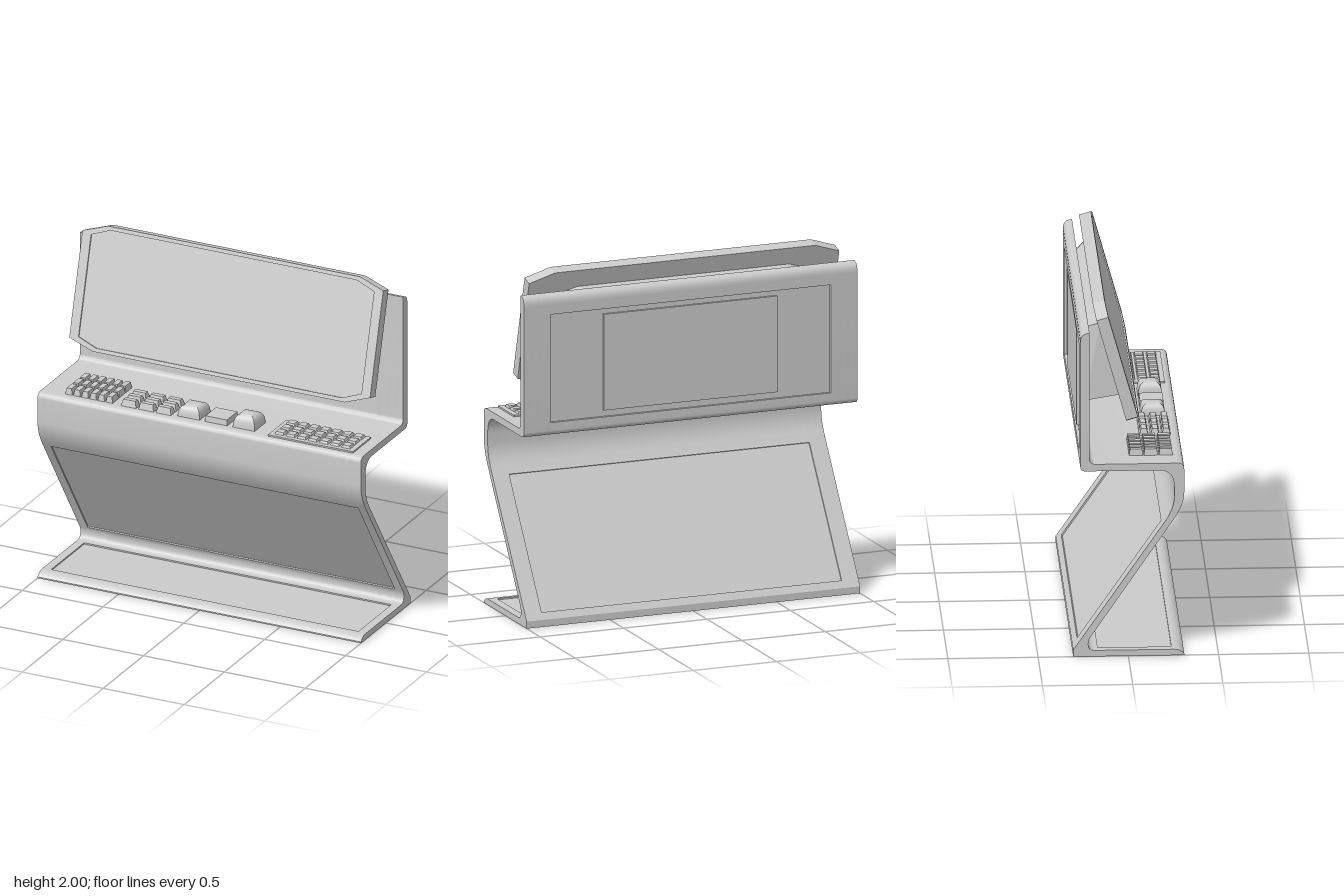
import * as THREE from 'three';
import { toCreasedNormals } from 'three/addons/utils/BufferGeometryUtils.js';

const grey = new THREE.MeshStandardMaterial({ color: 0xcccccc });

function add(parent, name, geometry, x = 0, y = 0, z = 0) {
  const mesh = new THREE.Mesh(geometry, grey);
  mesh.name = name;
  mesh.position.set(x, y, z);
  parent.add(mesh);
  return mesh;
}

// Straight profile edge from a to b with a shallow recess between t0 and t1
function edge(shape, a, b, depth, t0, t1) {
  const dx = b[0] - a[0], dy = b[1] - a[1], len = Math.hypot(dx, dy);
  const at = (t, d) => shape.lineTo(a[0] + dx * t - dy / len * d, a[1] + dy * t + dx / len * d);
  shape.lineTo(...a);
  if (depth > 0) {
    at(t0, 0);
    at(t0, depth);
    at(t1, depth);
    at(t1, 0);
  }
  shape.lineTo(...b);
}

// Side profile of the folded body, drawn as (z, y)
function bodyProfile(half) {
  const s = new THREE.Shape();
  const front = half < 0.95 ? 0.008 : 0;
  const rear = half < 0.9 ? 0.008 : 0;
  const panel = half < 0.84 ? 0.016 : 0;
  s.moveTo(0.31, 0);
  s.lineTo(0.31, 0.008);
  s.quadraticCurveTo(0.29, 0.035, 0.25, 0.035);
  edge(s, [0.249, 0.035], [-0.185, 0.035], front, 0.02, 0.96);
  s.quadraticCurveTo(-0.235, 0.035, -0.218, 0.1);
  edge(s, [-0.217, 0.102], [0.25, 0.79], front, 0.015, 0.985);
  s.quadraticCurveTo(0.31, 0.878, 0.31, 0.95);
  s.lineTo(0.31, 1.085);
  s.quadraticCurveTo(0.31, 1.12, 0.275, 1.12);
  s.lineTo(-0.18, 1.12);
  s.quadraticCurveTo(-0.215, 1.12, -0.215, 1.155);
  s.lineTo(-0.215, 1.885);
  s.quadraticCurveTo(-0.266, 1.885, -0.266, 1.83);
  edge(s, [-0.266, 1.829], [-0.266, 1.11], panel, 0.08, 0.94);
  s.quadraticCurveTo(-0.266, 1.08, -0.236, 1.08);
  s.lineTo(0.17, 1.08);
  s.quadraticCurveTo(0.255, 1.08, 0.255, 0.98);
  s.lineTo(0.255, 0.93);
  s.quadraticCurveTo(0.255, 0.857, 0.207, 0.787);
  edge(s, [0.206, 0.785], [-0.305, 0.04], rear, 0.04, 0.95);
  s.lineTo(-0.305, 0);
  s.closePath();
  return s;
}

// Octagon with corners cut by cx and cy, counter-clockwise
function octagon(w, h, cx, cy, y = 0) {
  return [[w, -h + cy], [w, h - cy], [w - cx, h], [cx - w, h],
    [-w, h - cy], [-w, -h + cy], [cx - w, -h], [w - cx, -h]]
    .map(([px, py]) => new THREE.Vector2(px, py + y));
}

// Key cap: a box narrowing to the top; round > 0 gives a domed shoulder
function keyGeometry(w, h, d, inset, round = 0) {
  const g = new THREE.BoxGeometry(w, h, d, 1, round ? 8 : 1, 1);
  const p = g.attributes.position;
  for (let i = 0; i < p.count; i++) {
    const t = p.getY(i) / h + 0.5;
    const k = inset * t + round * (1 - Math.sqrt(Math.max(0, 1 - t ** 3)));
    p.setX(i, p.getX(i) * (1 - 2 * k / w));
    p.setZ(i, p.getZ(i) * (1 - 2 * k / d));
  }
  g.translate(0, h / 2, 0);
  return toCreasedNormals(g, 0.5);
}

function keyGrid(parent, name, geometry, xs, zs, y) {
  const group = new THREE.Group();
  group.name = name;
  for (const z of zs) for (const x of xs) add(group, 'key', geometry, x, y, z);
  parent.add(group);
}

const series = (n, start, step) => Array.from({ length: n }, (_, i) => start + i * step);

export function createModel() {
  const model = new THREE.Group();
  model.name = 'console';

  // Body: slices of the profile, so recesses stop short of the ends
  const body = new THREE.Group();
  body.name = 'body';
  model.add(body);
  const cuts = [-1, -0.95, -0.9, -0.84, 0.84, 0.9, 0.95, 1];
  for (let i = 0; i < cuts.length - 1; i++) {
    const g = new THREE.ExtrudeGeometry(bodyProfile(Math.abs(cuts[i] + cuts[i + 1]) / 2),
      { depth: cuts[i + 1] - cuts[i], bevelEnabled: false, curveSegments: 8 });
    g.rotateY(-Math.PI / 2);
    add(body, 'bodySlice', toCreasedNormals(g, 0.5), cuts[i + 1]);
  }
  add(model, 'rearAccessPanel', new THREE.BoxGeometry(1.04, 0.55, 0.02), 0, 1.465, -0.254);

  // Tilted monitor: octagonal slab with a raised bezel
  const monitor = new THREE.Group();
  monitor.name = 'monitor';
  monitor.position.set(0, 1.652, -0.058);
  monitor.rotation.x = -0.274;
  model.add(monitor);
  const outline = octagon(0.93, 0.355, 0.15, 0.052);
  add(monitor, 'screenSlab', new THREE.ExtrudeGeometry(new THREE.Shape(outline),
    { depth: 0.06, bevelEnabled: false }), 0, 0, -0.034);
  const bezel = new THREE.Shape(outline);
  bezel.holes.push(new THREE.Path(octagon(0.875, 0.333, 0.115, 0.044).reverse()));
  add(monitor, 'bezel', new THREE.ExtrudeGeometry(bezel,
    { depth: 0.008, bevelEnabled: false }), 0, 0, 0.026);

  // Wedge-shaped mount lofted between monitor and back panel
  const points = [], faces = [];
  for (const p of octagon(0.74, 0.24, 0.1, 0.03, 1.65)) points.push(p.x, p.y, 0.006 - (p.y - 1.3) * 0.27);
  for (const p of octagon(0.67, 0.245, 0.1, 0.03, 1.6)) points.push(p.x, p.y, -0.218);
  for (let i = 0; i < 8; i++) {
    const j = (i + 1) % 8;
    faces.push(i, i + 8, j + 8, i, j + 8, j);
  }
  let mount = new THREE.BufferGeometry();
  mount.setAttribute('position', new THREE.Float32BufferAttribute(points, 3));
  mount.setIndex(faces);
  mount = mount.toNonIndexed();
  mount.computeVertexNormals();
  add(model, 'monitorMount', mount);

  // Desk controls
  const controls = new THREE.Group();
  controls.name = 'controls';
  model.add(controls);
  keyGrid(controls, 'smallKeys', keyGeometry(0.042, 0.036, 0.078, 0.006),
    series(6, -0.835, 0.05), [0.05, 0.132, 0.215], 1.12);
  keyGrid(controls, 'wideKeys', keyGeometry(0.094, 0.038, 0.05, 0.01),
    series(3, -0.463, 0.108), [0.11, 0.172, 0.234], 1.12);
  add(controls, 'lowDome', keyGeometry(0.136, 0.065, 0.136, 0.006, 0.03), -0.098, 1.12, 0.178);
  add(controls, 'flatButton', keyGeometry(0.138, 0.034, 0.136, 0.003), 0.072, 1.12, 0.178);
  add(controls, 'highDome', keyGeometry(0.136, 0.077, 0.136, 0.006, 0.035), 0.243, 1.12, 0.178);
  add(controls, 'keypadPlate', new THREE.BoxGeometry(0.525, 0.01, 0.225), 0.668, 1.124, 0.158);
  keyGrid(controls, 'keypadKeys', keyGeometry(0.056, 0.016, 0.056, 0.006),
    series(7, 0.462, 0.0685), [0.08, 0.148, 0.217], 1.127);

  return model;
}
